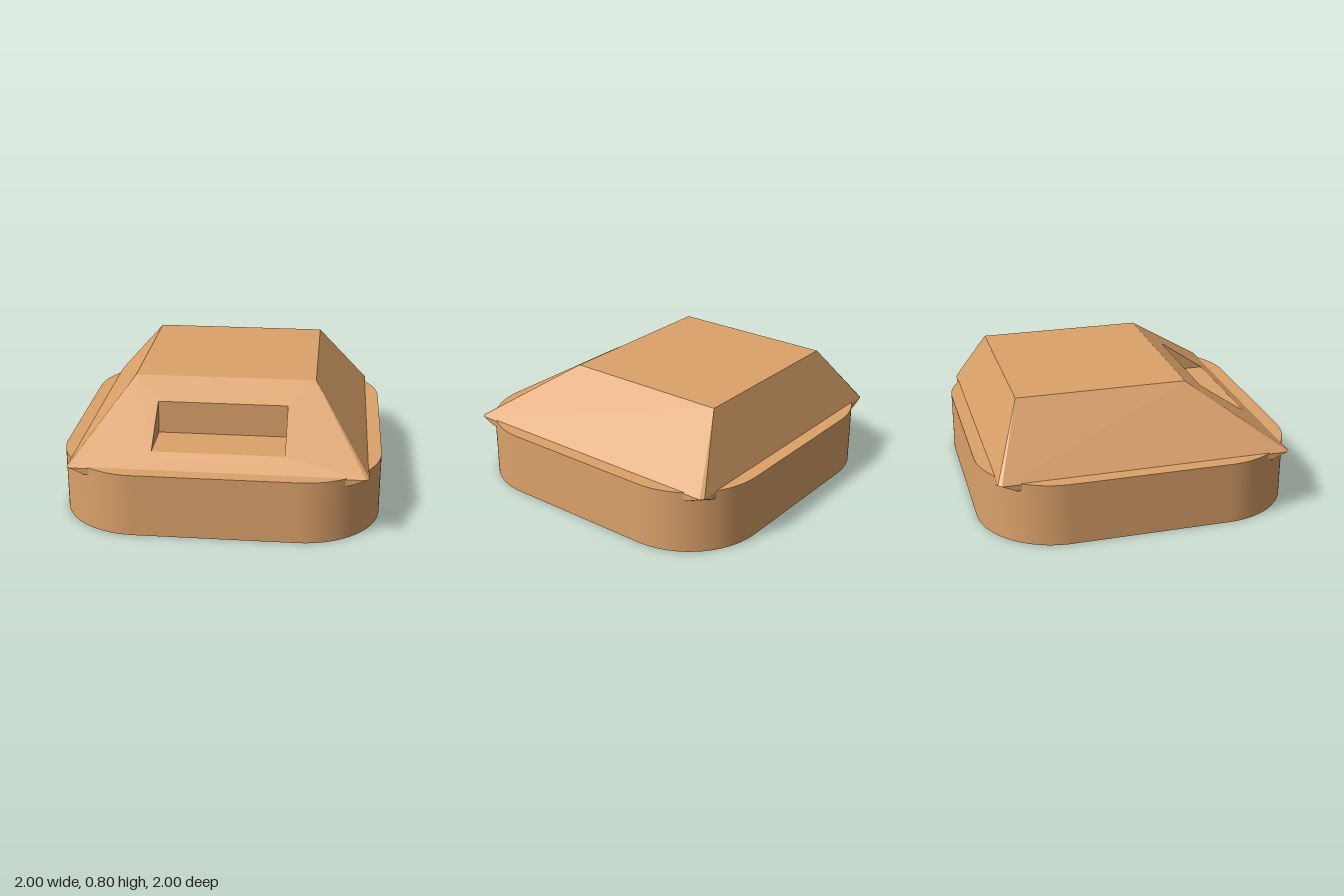
import * as THREE from 'three';
import { toCreasedNormals } from 'three/addons/utils/BufferGeometryUtils.js';

// Flat-sided mesh from convex faces, each a list of corners counter-clockwise from outside
function faceMesh(name, faces, material) {
  const p = [];
  for (const f of faces)
    for (let i = 1; i < f.length - 1; i++) p.push(...f[0], ...f[i], ...f[i + 1]);
  const g = new THREE.BufferGeometry();
  g.setAttribute('position', new THREE.Float32BufferAttribute(p, 3));
  g.computeVertexNormals();
  const m = new THREE.Mesh(g, material);
  m.name = name;
  return m;
}

// Square ring with cut corners, two points per corner, starting at front right (+x, +z)
function ring(half, cut, y) {
  const a = half, b = half - cut;
  return [[b, a], [a, b], [a, -b], [b, -a], [-b, -a], [-a, -b], [-a, b], [-b, a]]
    .map(([x, z]) => [x, y, z]);
}

export function createModel() {
  const model = new THREE.Group();
  const tan = new THREE.MeshStandardMaterial({ color: 0xdca26a });
  tan.name = 'tan';

  // Rounded base with four round sockets
  const r = 0.5, socketR = 0.275, socketDepth = 0.26, baseH = 0.4;
  const outline = new THREE.Shape();
  outline.absarc(0.5, 0.5, r, 0, Math.PI / 2);
  outline.absarc(-0.5, 0.5, r, Math.PI / 2, Math.PI);
  outline.absarc(-0.5, -0.5, r, Math.PI, Math.PI * 1.5);
  outline.absarc(0.5, -0.5, r, Math.PI * 1.5, Math.PI * 2);
  outline.closePath();
  const centres = [[0.5, 0.5], [-0.5, 0.5], [-0.5, -0.5], [0.5, -0.5]];
  for (const [x, y] of centres) {
    const hole = new THREE.Path();
    hole.absarc(x, y, socketR, 0, Math.PI * 2, true);
    outline.holes.push(hole);
  }
  let baseGeo = new THREE.ExtrudeGeometry(outline, { depth: baseH, bevelEnabled: false, curveSegments: 20 });
  baseGeo.rotateX(-Math.PI / 2);
  baseGeo = toCreasedNormals(baseGeo, 0.6);
  const base = new THREE.Mesh(baseGeo, tan);
  base.name = 'base';
  model.add(base);

  // Ceilings of the sockets
  for (const [x, z] of centres) {
    const cap = new THREE.Mesh(new THREE.CircleGeometry(socketR, 40).rotateX(Math.PI / 2), tan);
    cap.position.set(x, socketDepth, z);
    cap.name = 'socketCeiling';
    model.add(cap);
  }

  // Sloped upper body: undercut corners below, tapering to a flat roof
  const low = ring(0.917, 0.11, 0.355);
  const rim = ring(0.917, 0.02, 0.395);
  const roofY = 0.8, rx = 0.575, zf = 0.33, zb = -0.74;
  const roof = [[rx, roofY, zf], [rx, roofY, zb], [-rx, roofY, zb], [-rx, roofY, zf]];
  const faces = [roof, [...low].reverse()];
  for (let i = 0; i < 8; i++) {
    const j = (i + 1) % 8;
    faces.push([low[i], low[j], rim[j], rim[i]]);
  }
  for (let c = 0; c < 4; c++) {
    const a = rim[2 * c], b = rim[2 * c + 1], next = rim[(2 * c + 2) % 8];
    faces.push([a, b, roof[c]]);
    if (c < 3) faces.push([b, next, roof[c + 1], roof[c]]);
  }

  // Front slope framed around the notch
  const slopeZ = y => 0.917 + (y - 0.395) / (roofY - 0.395) * (zf - 0.917);
  const nx = 0.408, y0 = 0.475, y1 = 0.685, z0 = slopeZ(y0), z1 = slopeZ(y1);
  const outer = [rim[7], rim[0], roof[0], roof[3]];
  const inner = [[-nx, y0, z0], [nx, y0, z0], [nx, y1, z1], [-nx, y1, z1]];
  for (let i = 0; i < 4; i++) {
    const j = (i + 1) % 4;
    faces.push([outer[i], outer[j], inner[j], inner[i]]);
  }
  model.add(faceMesh('upperBody', faces, tan));

  // Notch with level floor, upright back wall and triangular cheeks
  const [fl, fr, tr, tl] = inner;
  const bl = [-nx, y0, z1], br = [nx, y0, z1];
  model.add(faceMesh('notch', [
    [fl, fr, br, bl],
    [bl, br, tr, tl],
    [fl, bl, tl],
    [fr, tr, br],
  ], tan));

  return model;
}
